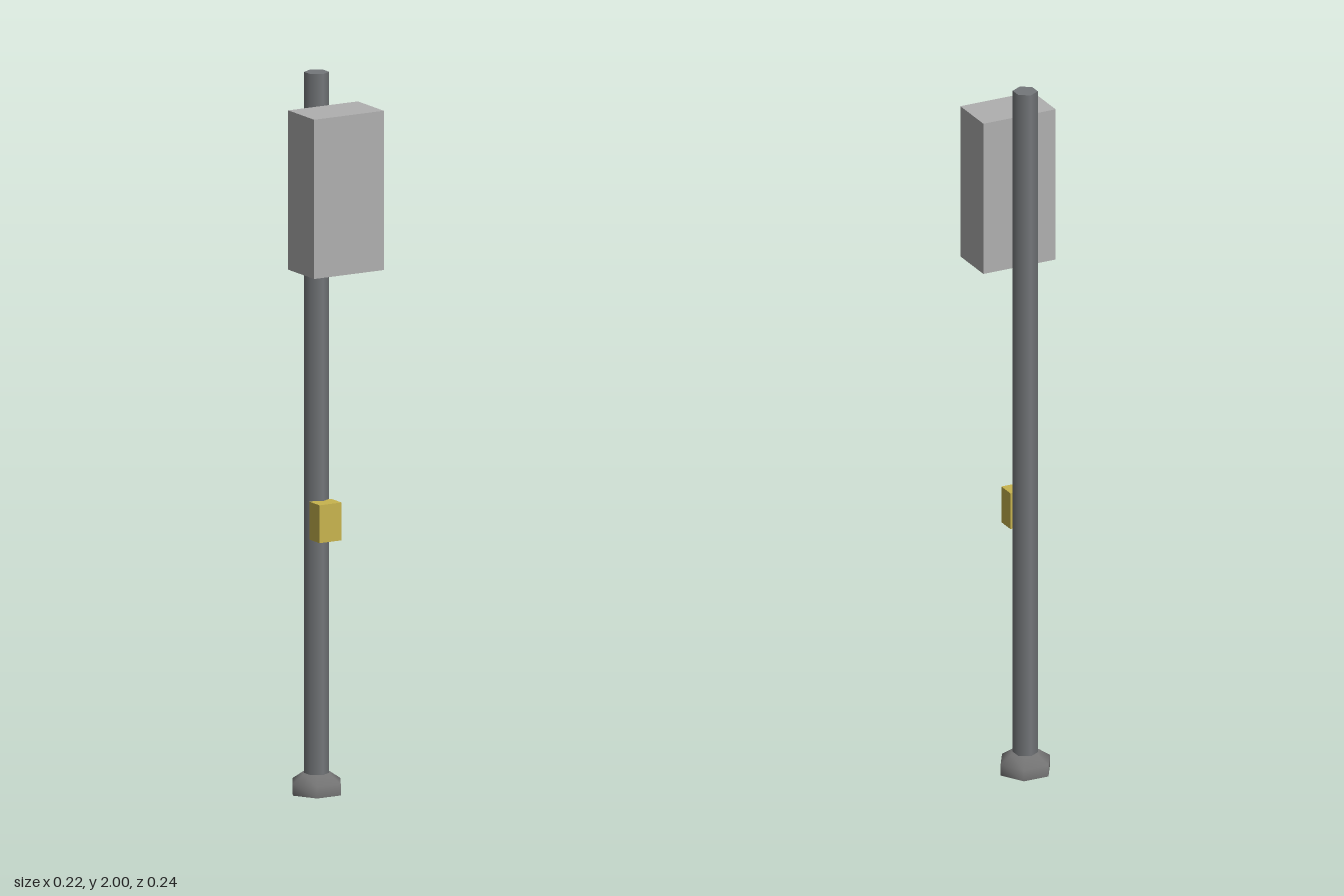
import * as THREE from 'three';

export function createModel() {
  const model = new THREE.Group();
  const material = (name, color, side = THREE.FrontSide) => {
    const m = new THREE.MeshStandardMaterial({ color, side });
    m.name = name;
    return m;
  };
  const steel = material('steel grey', 0x74777a);
  const iron = material('base grey', 0x757575, THREE.DoubleSide);
  const lightGrey = material('light grey', 0xb0b0b0);
  const yellow = material('yellow', 0xc8b44e);

  const add = (name, geometry, mat, x, y, z) => {
    const mesh = new THREE.Mesh(geometry, mat);
    mesh.name = name;
    mesh.position.set(x, y, z);
    model.add(mesh);
    return mesh;
  };
  // Box given by its width and its y and z extents
  const box = (name, mat, w, y0, y1, z0, z1) =>
    add(name, new THREE.BoxGeometry(w, y1 - y0, z1 - z0), mat, 0, (y0 + y1) / 2, (z0 + z1) / 2);

  const poleZ = -0.054;

  // Six-sided pole
  add('pole', new THREE.CylinderGeometry(0.034, 0.034, 1.95, 6), steel, 0, 1.025, poleZ);

  // Hollow six-sided foot, open underneath
  const profile = [[0.075, 0], [0.075, 0.032], [0.042, 0.055], [0.0, 0.055]]
    .map(([r, y]) => new THREE.Vector2(r, y));
  const foot = add('foot', new THREE.LatheGeometry(profile, 6), iron, 0, 0, poleZ);
  foot.rotation.y = Math.PI / 6;

  // Signal housing and the brackets holding it to the pole
  box('signalHousing', lightGrey, 0.22, 1.47, 1.912, -0.02, 0.117);
  for (const y of [1.55, 1.795]) box('bracket', steel, 0.034, y - 0.016, y + 0.016, -0.031, -0.014);

  // Push-button box
  box('buttonBox', yellow, 0.07, 0.71, 0.815, -0.034, 0.02);

  return model;
}
